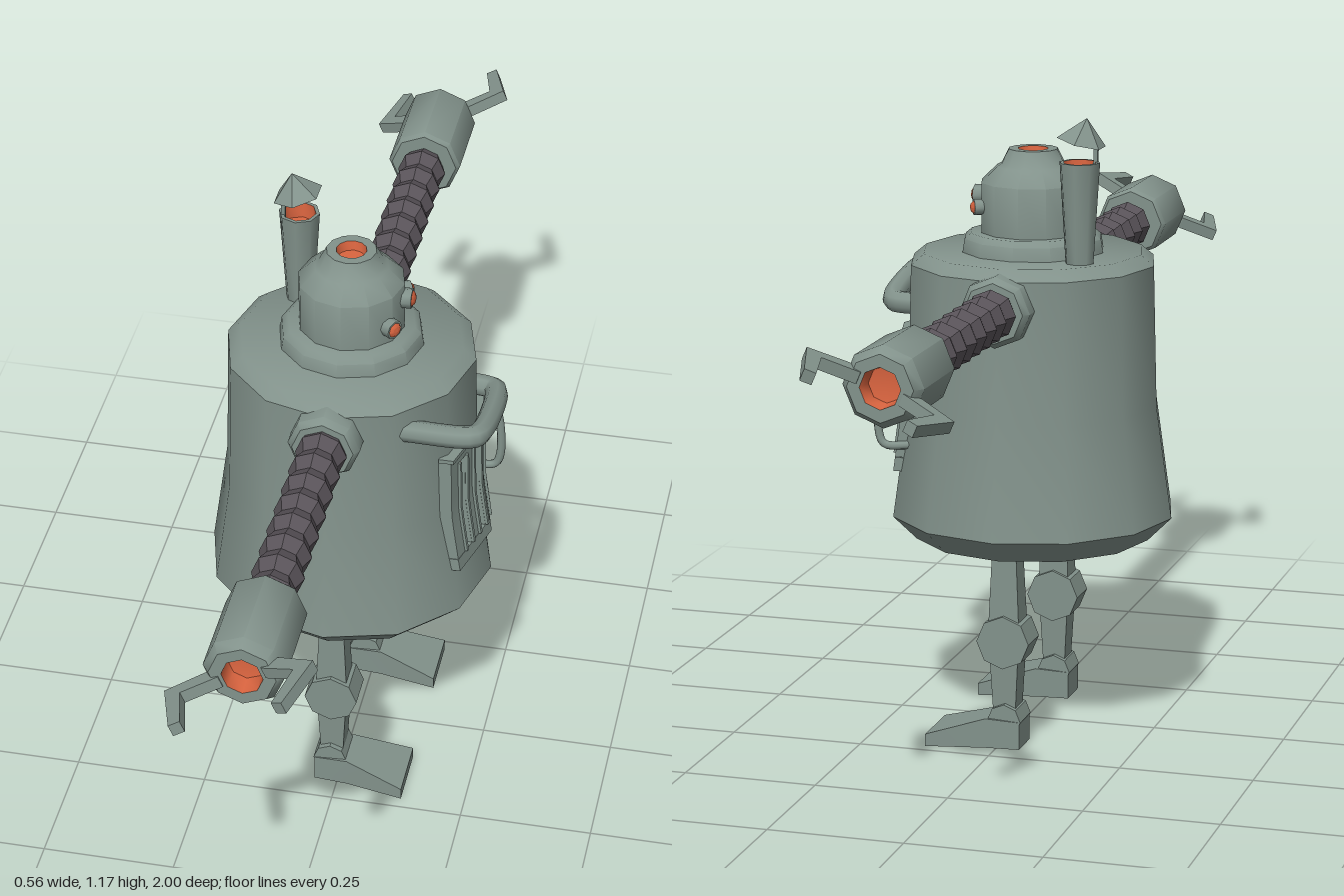
import * as THREE from 'three';
import { toCreasedNormals } from 'three/addons/utils/BufferGeometryUtils.js';

const CX = -0.012; // body axis
const ARM_Y = 0.833;

export function createModel() {
  const paint = (name, color, side = THREE.FrontSide) => {
    const m = new THREE.MeshStandardMaterial({ color, side });
    m.name = name;
    return m;
  };
  const metal = paint('grey green metal', 0x82928b, THREE.DoubleSide);
  const dark = paint('dark rubber', 0x5a545a);
  const glow = paint('orange glow', 0xdb6540, THREE.DoubleSide);

  const root = new THREE.Group();
  const add = (parent, name, geo, mat, x = 0, y = 0, z = 0) => {
    const mesh = new THREE.Mesh(geo, mat);
    mesh.name = name;
    mesh.position.set(x, y, z);
    parent.add(mesh);
    return mesh;
  };
  const lathe = (pts, sides = 12, crease = 0.8) =>
    toCreasedNormals(new THREE.LatheGeometry(pts.map(p => new THREE.Vector2(...p)), sides), crease);
  const flat = geo => toCreasedNormals(geo, 0.2);
  const tube = (pts, r, n = 40) => new THREE.TubeGeometry(
    new THREE.CatmullRomCurve3(pts.map(p => new THREE.Vector3(...p)), false, 'centripetal'), n, r, 8);

  // Body shell and underside
  const profile = [[0.223, 0.365], [0.268, 0.41], [0.238, 0.62], [0.231, 0.885], [0.207, 0.905]];
  add(root, 'body', lathe([...profile, [0, 0.905]]), metal, CX);
  add(root, 'underside', lathe([[0, 0.365], [0.223, 0.365]]), dark, CX);

  // Neck, head and the glowing opening on top
  add(root, 'neck', lathe([[0.134, 0.905], [0.13, 0.93], [0.118, 0.94], [0, 0.94]]), metal, CX);
  add(root, 'head', lathe([[0.098, 0.938], [0.098, 1.033], [0.068, 1.062], [0.06, 1.066],
    [0.046, 1.094], [0.028, 1.094]]), metal, CX);
  add(root, 'headOpening', lathe([[0.028, 1.094], [0.025, 1.076], [0, 1.076]]), glow, CX);

  // Three eyes: short tubes with lenses, facing outward
  for (const [angle, y, r] of [[0.6, 0.974, 0.018], [0, 1.003, 0.019], [-0.5, 0.988, 0.015]]) {
    const eye = new THREE.Group();
    eye.name = 'eye';
    eye.position.set(CX, y, 0);
    eye.rotation.y = -angle;
    root.add(eye);
    add(eye, 'eyeTube', lathe([[r, 0.08], [r, 0.112], [r * 0.8, 0.112]], 8), metal).rotation.z = -Math.PI / 2;
    add(eye, 'eyeLens', lathe([[r * 0.8, 0.112], [r * 0.5, 0.117], [0, 0.119]], 8), glow).rotation.z = -Math.PI / 2;
  }

  // Chimney with a tilted lid on a thin stem
  const px = -0.131, pz = -0.107;
  add(root, 'chimney', lathe([[0.026, 0.9], [0.038, 1.09], [0.031, 1.09]], 8), metal, px, 0, pz);
  add(root, 'chimneyOpening', lathe([[0.031, 1.09], [0.029, 1.06], [0, 1.06]], 8), glow, px, 0, pz);
  add(root, 'lidStem', new THREE.BoxGeometry(0.008, 0.075, 0.008), metal, -0.158, 1.092, -0.095);
  add(root, 'chimneyLid', flat(new THREE.ConeGeometry(0.047, 0.045, 6, 1, true)),
    metal, -0.139, 1.149, pz).rotation.z = 0.24;

  // Plates that follow the faceted front of the body
  const radius = y => {
    const i = y < 0.62 ? 1 : 2, [r0, y0] = profile[i], [r1, y1] = profile[i + 1];
    return r0 + (r1 - r0) * (y - y0) / (y1 - y0);
  };
  const plate = (name, z, y, w, h, off0, off1, mat) => {
    const g = new THREE.BoxGeometry(1, h, w, 1, 6, 2);
    g.translate(0, y, z);
    const p = g.attributes.position;
    for (let i = 0; i < p.count; i++) {
      const off = p.getX(i) > 0 ? off1 : off0;
      p.setX(i, CX + radius(p.getY(i)) + off - 0.268 * Math.abs(p.getZ(i)));
    }
    return add(root, name, toCreasedNormals(g, 0.5), mat);
  };

  // Furnace door: glowing back, bars between four slots, rails and a handle
  const slots = [0.088, 0.031, -0.029, -0.085];
  const slotW = 0.022;
  const edges = [0.133, ...slots.flatMap(s => [s + slotW / 2, s - slotW / 2]), -0.133];
  for (const s of slots) plate('doorGlow', s, 0.625, slotW + 0.004, 0.205, -0.002, 0.004, glow);
  for (let i = 0; i < edges.length; i += 2) {
    plate('doorBar', (edges[i] + edges[i + 1]) / 2, 0.625, edges[i] - edges[i + 1], 0.2, -0.012, 0.012, metal);
  }
  for (const y of [0.736, 0.511]) plate('doorRail', 0, y, 0.266, 0.026, -0.012, 0.012, metal);
  for (const s of slots) { // raised slot rims
    for (const d of [-1, 1]) plate('slotRim', s + d * 0.0145, 0.625, 0.006, 0.2, 0.01, 0.017, metal);
  }
  plate('doorLedge', 0, 0.748, 0.272, 0.008, -0.01, 0.018, metal);
  add(root, 'doorHandle', tube([[0.18, 0.695, -0.132], [0.22, 0.695, -0.137], [0.236, 0.68, -0.137],
    [0.246, 0.575, -0.137], [0.235, 0.55, -0.137], [0.18, 0.55, -0.132]], 0.008), metal);

  // Bent pipe across the chest
  add(root, 'chestPipe', tube([[0.11, 0.835, 0.17], [0.225, 0.835, 0.17], [0.246, 0.835, 0.163],
    [0.255, 0.832, 0.142], [0.255, 0.804, -0.015], [0.246, 0.8, -0.035], [0.225, 0.799, -0.042],
    [0.17, 0.799, -0.042]], 0.021), metal);

  // Arms: shoulder ring, ribbed hose, hand with glowing socket and two claws
  const hose = [];
  const ribs = 8, z0 = 0.24, step = (0.705 - z0) / ribs;
  for (let i = 0; i < ribs; i++) hose.push([0.036, z0 + i * step], [0.047, z0 + (i + 0.5) * step]);
  hose.push([0.036, 0.705]);
  const clawShape = new THREE.Shape([[0.04, 0.872], [0.068, 0.872], [0.138, 0.9], [0.104, 1],
    [0.084, 0.994], [0.105, 0.914], [0.04, 0.892]].map(p => new THREE.Vector2(...p)));

  const buildArm = () => {
    const arm = new THREE.Group();
    arm.name = 'arm';
    arm.position.set(CX, ARM_Y, 0);
    const part = (name, geo, mat) => { add(arm, name, geo, mat).rotation.x = Math.PI / 2; };
    part('shoulderRing', lathe([[0.066, 0.2], [0.066, 0.245], [0.056, 0.258], [0.03, 0.258]], 8), metal);
    part('hose', lathe(hose, 8, 0.5), dark);
    part('hand', lathe([[0.03, 0.7], [0.064, 0.7], [0.071, 0.708], [0.071, 0.872], [0.058, 0.89],
      [0.036, 0.89]], 8), metal);
    part('handSocket', lathe([[0.036, 0.89], [0.032, 0.855], [0, 0.85]], 8), glow);
    for (const turn of [0, Math.PI]) {
      const g = new THREE.ExtrudeGeometry(clawShape, { depth: 0.022, bevelEnabled: false });
      g.translate(0, 0, -0.011).rotateX(Math.PI / 2).rotateZ(0.408 + turn);
      add(arm, 'claw', g, metal);
    }
    return arm;
  };

  // Legs: tapered limbs, octagonal knee and ankle, wedge foot with a dark sole
  const limb = (w0, w1, d0, d1, h) => { // top and bottom width, then depth
    const g = new THREE.BoxGeometry(1, h, 1), p = g.attributes.position;
    for (let i = 0; i < p.count; i++) {
      const top = p.getY(i) > 0;
      p.setX(i, p.getX(i) * (top ? w0 : w1));
      p.setZ(i, p.getZ(i) * (top ? d0 : d1));
    }
    return flat(g);
  };
  const stations = [[-0.044, 0.052, 0.035], [0.02, 0.056, 0.04], [0.13, 0.023, 0.061]]; // x, height, half width
  const footGeo = () => {
    const g = new THREE.BoxGeometry(2, 1, 2, 2, 1, 1), p = g.attributes.position;
    for (let i = 0; i < p.count; i++) {
      const [x, h, w] = stations[Math.round(p.getX(i)) + 1];
      p.setXYZ(i, x, p.getY(i) > 0 ? h : 0, p.getZ(i) * w);
    }
    return flat(g);
  };
  const drum = (r, w) => flat(new THREE.CylinderGeometry(r, r, w, 8).rotateX(Math.PI / 2));

  const buildLeg = () => {
    const leg = new THREE.Group();
    leg.name = 'leg';
    leg.position.z = 0.166;
    add(leg, 'thigh', limb(0.045, 0.06, 0.046, 0.056, 0.17), metal, CX, 0.297);
    add(leg, 'knee', drum(0.05, 0.07), metal, CX, 0.203);
    add(leg, 'shin', limb(0.056, 0.042, 0.054, 0.046, 0.13), metal, CX, 0.125);
    add(leg, 'ankle', drum(0.032, 0.068), metal, -0.014, 0.052);
    add(leg, 'foot', footGeo(), [metal, metal, metal, dark, metal, metal]);
    return leg;
  };

  // Mirror limbs to both sides
  for (const side of [1, -1]) {
    for (const build of [buildArm, buildLeg]) {
      const half = new THREE.Group();
      half.name = side > 0 ? 'rightLimb' : 'leftLimb';
      half.scale.z = side;
      half.add(build());
      root.add(half);
    }
  }
  return root;
}
